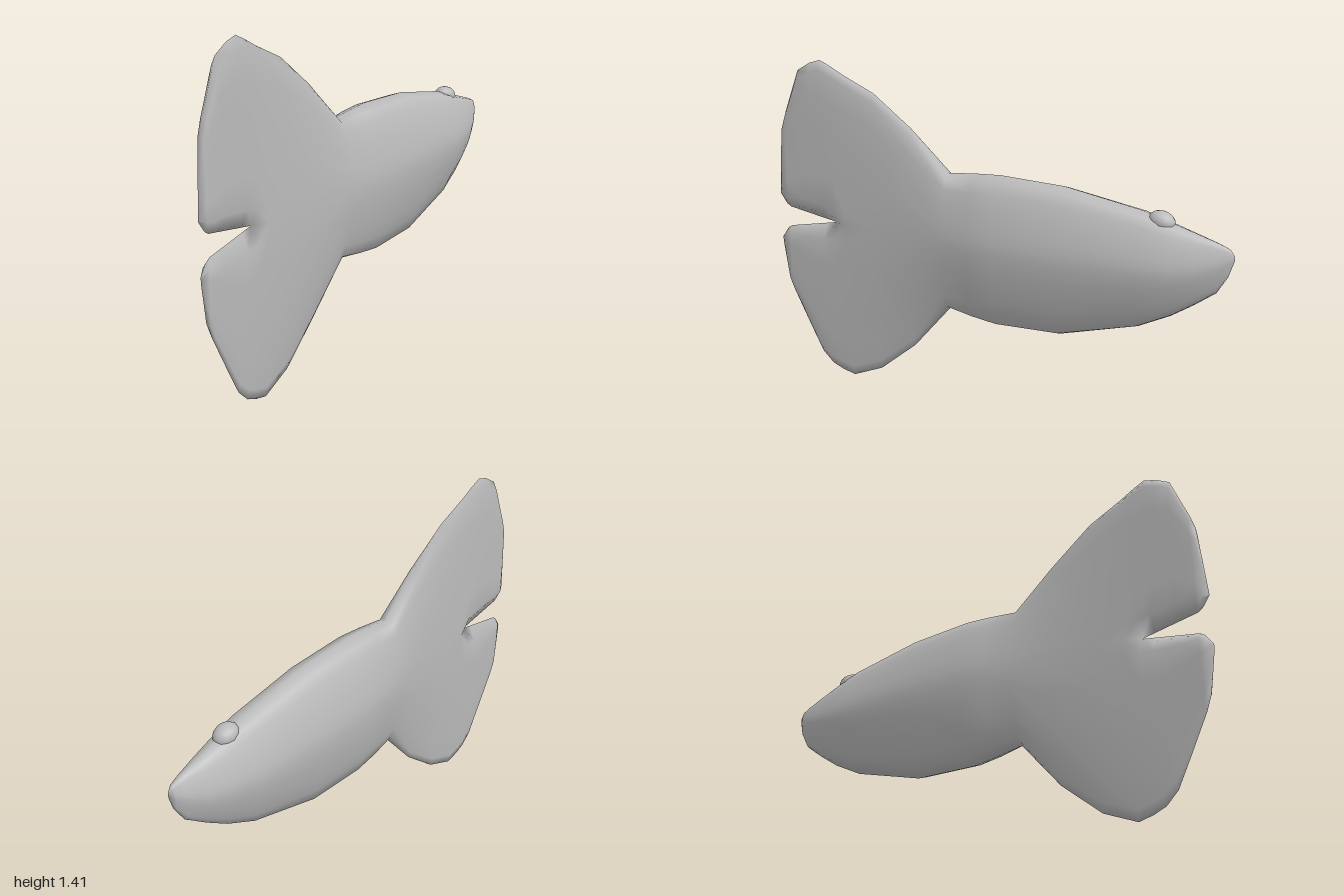
import * as THREE from 'three';
import { mergeVertices } from 'three/addons/utils/BufferGeometryUtils.js';

// Cross-section stations: z, top, bottom, half width, half width near top edge, near bottom edge
const stations = [
  [-1.0, 0.805, 0.785, 0, 0, 0],
  [-0.98, 0.83, 0.72, 0.018, 0.008, 0.008],
  [-0.94, 0.847, 0.65, 0.036, 0.014, 0.014],
  [-0.86, 0.872, 0.59, 0.066, 0.026, 0.024],
  [-0.77, 0.9, 0.53, 0.088, 0.036, 0.034],
  [-0.64, 0.94, 0.465, 0.113, 0.046, 0.043],
  [-0.32, 1.0, 0.378, 0.125, 0.05, 0.05],
  [-0.05, 1.015, 0.373, 0.12, 0.05, 0.05],
  [0.06, 1.01, 0.388, 0.105, 0.045, 0.045],
  [0.18, 1.0, 0.41, 0.085, 0.036, 0.034],
  [0.35, 1.17, 0.21, 0.058, 0.024, 0.012],
  [0.52, 1.3, 0.07, 0.043, 0.02, 0.009],
  [0.66, 1.365, 0.012, 0.034, 0.02, 0.008],
  [0.72, 1.397, 0.028, 0.031, 0.019, 0.008],
  [0.77, 1.42, 0.05, 0.028, 0.019, 0.008],
  [0.82, 1.405, 0.1, 0.025, 0.018, 0.008],
  [0.88, 1.37, 0.22, 0.022, 0.018, 0.009],
  [0.95, 1.19, 0.365, 0.019, 0.015, 0.01],
  [0.97, 1.13, 0.42, 0.016, 0.012, 0.01],
  [1.0, 0.83, 0.6, 0, 0, 0],
];

// Inner edges of the forked tail, as half the gap behind the notch
const notchZ = 0.72;
function halfGap(z) {
  if (z <= notchZ) return 0;
  if (z <= 0.95) return ((z - notchZ) / 0.23) * 0.043;
  return z < 0.99 ? 0.056 : 0.1;
}

// Points of one quarter section, from the middle line to the top or bottom edge
function quarter([z, top, bottom, w, wTop, wBottom], upper) {
  const middle = z < -0.7 ? THREE.MathUtils.lerp(0.725, 0.795, Math.pow((-z - 0.7) / 0.3, 3)) : 0.722;
  const edge = upper ? top : bottom;
  const edgeW = upper ? wTop : wBottom;
  const start = middle + (upper ? 1 : -1) * halfGap(z);
  const shape = [
    [0, z >= notchZ ? 0 : w],
    [0.1, w * 0.99],
    [0.28, w * 0.94],
    [0.6, (w * 0.94 + edgeW) * 0.56],
    [0.78, w * 0.25 + edgeW * 0.78],
    [0.94, edgeW],
    [1, 0],
  ];
  return shape.map(([f, x]) => [x, THREE.MathUtils.lerp(start, edge, f), z]);
}

// Four lofted quarters, welded into one smooth skin
function fishGeometry() {
  const positions = [];
  for (const upper of [true, false]) {
    const rows = stations.map((s) => quarter(s, upper));
    for (const side of [1, -1]) {
      const put = (...pts) => pts.forEach(([x, y, z]) => positions.push(x * side, y, z));
      const flip = (side > 0) !== upper;
      for (let i = 0; i < rows.length - 1; i++) {
        for (let j = 0; j < rows[i].length - 1; j++) {
          const a = rows[i][j], b = rows[i][j + 1];
          const c = rows[i + 1][j + 1], d = rows[i + 1][j];
          if (flip) put(a, c, b, a, d, c);
          else put(a, b, c, a, c, d);
        }
      }
    }
  }
  const geometry = new THREE.BufferGeometry();
  geometry.setAttribute('position', new THREE.Float32BufferAttribute(positions, 3));
  const welded = mergeVertices(geometry, 1e-4);
  welded.computeVertexNormals();
  return welded;
}

export function createModel() {
  const group = new THREE.Group();
  group.name = 'fish';
  const grey = new THREE.MeshStandardMaterial({ color: 0xbbbbbb });
  grey.name = 'plain grey';

  // Body and forked tail
  const body = new THREE.Mesh(fishGeometry(), grey);
  body.name = 'bodyAndTail';
  group.add(body);

  // Small bump on top of the head
  const bump = new THREE.Mesh(new THREE.SphereGeometry(0.05, 12, 8), grey);
  bump.name = 'headBump';
  bump.scale.set(0.9, 0.8, 1.1);
  bump.rotation.x = -0.25;
  bump.position.set(0, 0.907, -0.715);
  group.add(bump);

  return group;
}
